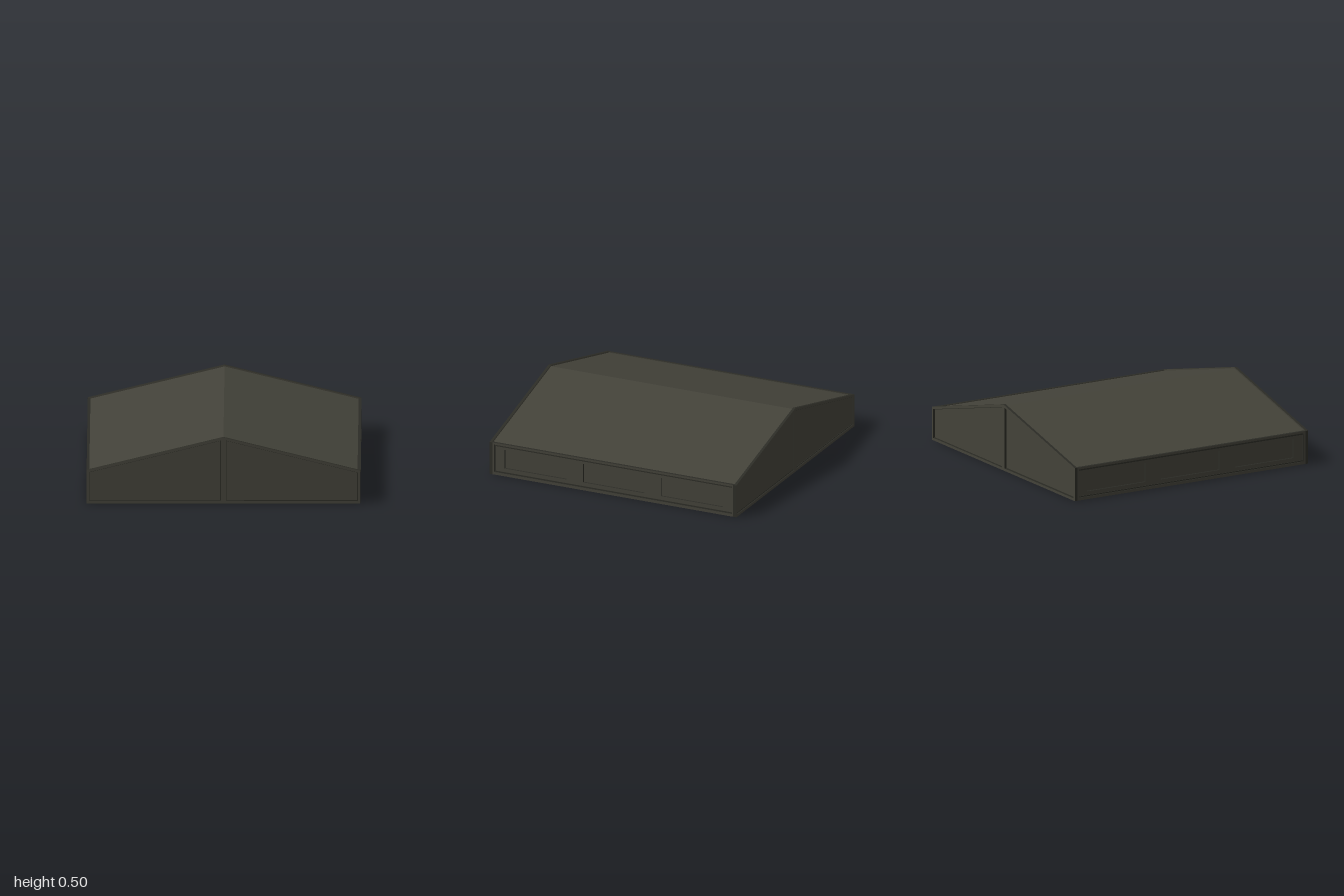
import * as THREE from 'three';

const body = new THREE.MeshStandardMaterial({ color: 0x434239 });
body.name = 'dark olive';
const trim = new THREE.MeshStandardMaterial({ color: 0x2c2c26 });
trim.name = 'dark trim';

const SLOPE = 0.25;
const TILT = Math.atan(SLOPE);

function path(points, PathType = THREE.Path) {
  return new PathType(points.map(([x, y]) => new THREE.Vector2(x, y)));
}

// Extruded plate from z0 to z1 with cut-outs
function plate(name, outline, holes, z0, z1, material) {
  const shape = path(outline, THREE.Shape);
  shape.holes = holes.map((h) => path(h));
  const geometry = new THREE.ExtrudeGeometry(shape, { depth: z1 - z0, bevelEnabled: false });
  geometry.translate(0, 0, z0);
  const mesh = new THREE.Mesh(geometry, material);
  mesh.name = name;
  return mesh;
}

function box(name, w, h, d, x, y, z, material = body) {
  const mesh = new THREE.Mesh(new THREE.BoxGeometry(w, h, d), material);
  mesh.name = name;
  mesh.position.set(x, y, z);
  return mesh;
}

const rect = (x0, x1, y0, y1) => [[x0, y0], [x1, y0], [x1, y1], [x0, y1]];

// Opening of one gable half, inset from the frame
function gableHalf(side, inset) {
  const inner = 0.018 + inset, outer = 0.982 - inset;
  const top = (x) => 0.482 - inset - SLOPE * x;
  return [[inner, 0.018 + inset], [outer, 0.018 + inset], [outer, top(outer)], [inner, top(inner)]]
    .map(([x, y]) => [side * x, y]);
}

function gableWall() {
  const group = new THREE.Group();
  group.name = 'gableWall';
  const outline = [[-1, 0], [1, 0], [1, 0.25], [0, 0.5], [-1, 0.25]];
  const sheet = [[-0.98, 0.002], [0.98, 0.002], [0.98, 0.24], [0, 0.485], [-0.98, 0.24]];
  group.add(plate('gableSheet', sheet, [], 0.965, 0.985, body));
  group.add(plate('gableFrame', outline, [gableHalf(-1, 0), gableHalf(1, 0)], 0.98, 1, [body, trim]));
  // Dark line inside each half of the frame
  for (const s of [-1, 1]) {
    group.add(plate('gableFrameEdge', gableHalf(s, 0), [gableHalf(s, 0.005)], 0.985, 0.99, trim));
  }
  return group;
}

function sideWall() {
  const group = new THREE.Group();
  group.name = 'sideWall';
  const opening = rect(-0.965, 0.965, 0.02, 0.235);
  const panels = [-0.635, 0, 0.635].map((x) => rect(x - 0.25, x + 0.25, 0.055, 0.2));
  group.add(plate('sideBacking', rect(-0.97, 0.97, 0.002, 0.24), [], 0.96, 0.97, body));
  group.add(plate('sidePanelSheet', rect(-0.97, 0.97, 0.002, 0.24), panels, 0.97, 0.985, [body, trim]));
  group.add(plate('sideFrame', rect(-0.98, 0.98, 0, 0.25), [opening], 0.98, 1, [body, trim]));
  group.add(plate('sideFrameEdge', opening, [rect(-0.96, 0.96, 0.027, 0.222)], 0.985, 0.99, trim));
  // Corner seams
  for (const s of [-1, 1]) group.add(box('cornerSeam', 0.005, 0.25, 0.002, s * 0.977, 0.125, 1, trim));
  return group;
}

// Parts placed on one roof slope, measured along the horizontal run
function sloped(name, x0, x1, drop, height, depth, z, side) {
  const mid = (x0 + x1) / 2;
  const mesh = box(name, (x1 - x0) / Math.cos(TILT), height, depth,
    side * mid, 0.49 - SLOPE * mid - drop - height / 2, z);
  mesh.rotation.z = -side * TILT;
  return mesh;
}

export function createModel() {
  const model = new THREE.Group();
  model.name = 'gabledRoof';

  // Outer walls
  for (let i = 0; i < 2; i++) {
    const gable = gableWall();
    gable.rotation.y = i * Math.PI;
    const side = sideWall();
    side.rotation.y = Math.PI / 2 + i * Math.PI;
    model.add(gable, side);
  }

  // Roof slab, with both slopes in one section
  model.add(plate('roofSlab', [[-0.985, 0.244], [-0.985, 0.229], [0, 0.475], [0.985, 0.229],
    [0.985, 0.244], [0, 0.49]], [], -0.982, 0.982, body));

  // Rafters under each slope
  for (const side of [-1, 1]) {
    for (let i = -3; i <= 3; i++) {
      model.add(sloped('rafter', 0.01, 0.965, 0.014, 0.04, 0.035, i * 0.25, side));
    }
    // Purlins along the slope
    for (const x of [0.33, 0.66]) {
      model.add(sloped('purlin', x - 0.012, x + 0.012, 0.012, 0.016, 1.94, 0, side));
    }
  }

  // Ridge beam and low tie beam
  model.add(box('ridgeBeam', 0.06, 0.05, 1.94, 0, 0.445, 0));
  model.add(box('tieBeamTop', 0.05, 0.015, 1.94, 0, 0.088, 0));
  model.add(box('tieBeamWeb', 0.014, 0.07, 1.94, 0, 0.053, 0));
  model.add(box('tieBeamBottom', 0.05, 0.015, 1.94, 0, 0.018, 0));
  return model;
}
